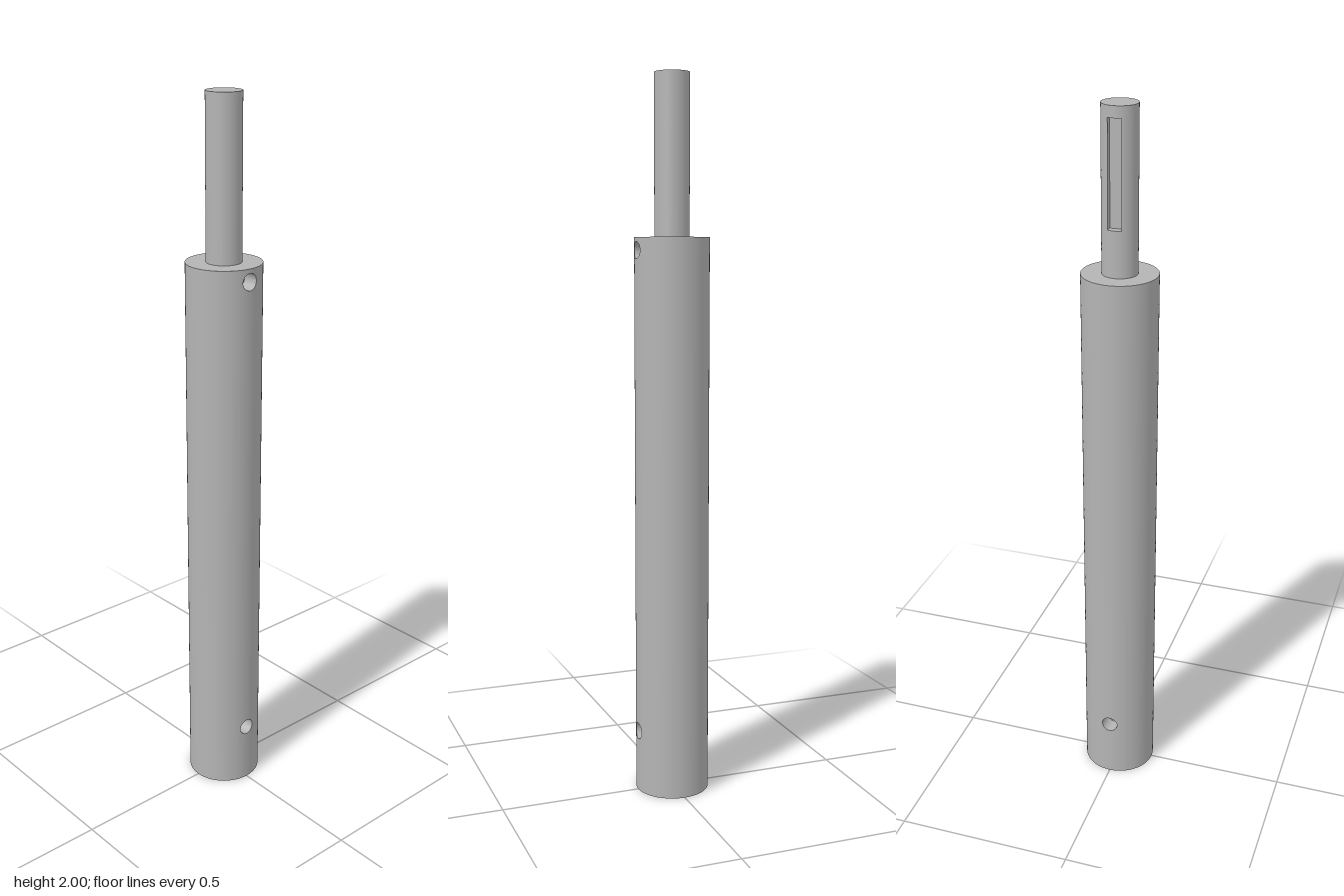
import * as THREE from 'three';

const steel = new THREE.MeshStandardMaterial({ color: 0xb4b4b4, side: THREE.DoubleSide });
steel.name = 'steel grey';

const BODY_R = 0.103, BODY_TOP = 1.565;
const BORE_R = 0.056, BORE_TOP = 0.36;
const SPINDLE_R = 0.048, TOP = 2;
const HOLE_R = 0.023, PATCH = 0.03;
const PIN_Y = 0.175, VENT_Y = 1.53;
const KEY_HALF = 0.018, KEY_LOW = 1.69, KEY_HIGH = 1.97, KEY_FLOOR = 0.027;

// Smooth sheet from a rule f(u, v) -> [x, y, z]
function sheet(f, nu, nv) {
  const pos = [], index = [];
  for (let j = 0; j <= nv; j++)
    for (let i = 0; i <= nu; i++) pos.push(...f(i / nu, j / nv));
  for (let j = 0; j < nv; j++)
    for (let i = 0; i < nu; i++) {
      const a = j * (nu + 1) + i, b = a + 1, c = a + nu + 1, d = c + 1;
      index.push(a, b, c, b, d, c);
    }
  const g = new THREE.BufferGeometry();
  g.setAttribute('position', new THREE.Float32BufferAttribute(pos, 3));
  g.setIndex(index);
  g.computeVertexNormals();
  return g;
}

const depthAt = (r, x) => Math.sqrt(r * r - x * x);

// Part of a cylinder wall; angle 0 faces the front
function arc(r, y0, y1, t0, t1) {
  const n = Math.max(12, Math.ceil((t1 - t0) * 16));
  return sheet((u, v) => {
    const t = t0 + (t1 - t0) * u;
    return [r * Math.sin(t), y0 + (y1 - y0) * v, r * Math.cos(t)];
  }, n, 1);
}

// Square patch of cylinder wall around a round cross hole
function holePatch(r, y, side) {
  return sheet((u, v) => {
    const t = u * Math.PI * 2, c = Math.cos(t), s = Math.sin(t);
    const k = PATCH / Math.max(Math.abs(c), Math.abs(s));
    const d = HOLE_R + (k - HOLE_R) * v;
    return [c * d, y + s * d, side * depthAt(r, c * d)];
  }, 48, 4);
}

// Wall of a cross hole, from the outer skin to the given inner depth
function holeWall(y, side, inner) {
  return sheet((u, v) => {
    const t = u * Math.PI * 2, x = HOLE_R * Math.cos(t);
    const z0 = depthAt(BODY_R, x), z1 = inner(x);
    return [x, y + HOLE_R * Math.sin(t), side * (z0 + (z1 - z0) * v)];
  }, 48, 1);
}

function flatRing(r0, r1, y) {
  const g = r0 > 0 ? new THREE.RingGeometry(r0, r1, 96) : new THREE.CircleGeometry(r1, 96);
  return g.rotateX(-Math.PI / 2).translate(0, y, 0);
}

export function createModel() {
  const model = new THREE.Group();
  model.name = 'shaft';
  const group = name => {
    const g = new THREE.Group();
    g.name = name;
    model.add(g);
    return (part, geometry) => {
      const m = new THREE.Mesh(geometry, steel);
      m.name = part;
      g.add(m);
    };
  };

  // Cylinder wall with holes at the given heights, front and back
  function drilledWall(add, name, r, y0, y1, frontHoles, backHoles) {
    const t = Math.asin(PATCH / r);
    add(name + 'LeftWall', arc(r, y0, y1, t, Math.PI - t));
    add(name + 'RightWall', arc(r, y0, y1, Math.PI + t, 2 * Math.PI - t));
    for (const [side, holes] of [[1, frontHoles], [-1, backHoles]]) {
      const mid = side > 0 ? 0 : Math.PI;
      let y = y0;
      for (const h of holes) {
        add(name + 'Band', arc(r, y, h - PATCH, mid - t, mid + t));
        add(name + 'HoleRim', holePatch(r, h, side));
        y = h + PATCH;
      }
      add(name + 'Band', arc(r, y, y1, mid - t, mid + t));
    }
  }

  // Main body and its end faces
  const body = group('body');
  drilledWall(body, 'body', BODY_R, 0, BODY_TOP, [PIN_Y, VENT_Y], [PIN_Y]);
  body('bodyShoulder', flatRing(SPINDLE_R, BODY_R, BODY_TOP));
  body('bodyBottom', flatRing(BORE_R, BODY_R, 0).rotateX(Math.PI));

  // Socket in the bottom end
  const bore = group('bore');
  drilledWall(bore, 'bore', BORE_R, 0, BORE_TOP, [PIN_Y], [PIN_Y]);
  bore('boreEnd', flatRing(0, BORE_R, 0).rotateX(Math.PI).translate(0, BORE_TOP, 0));

  // Through pin hole below, blind hole near the shoulder
  const holes = group('crossHoles');
  for (const side of [1, -1])
    holes('pinHole', holeWall(PIN_Y, side, x => depthAt(BORE_R, x)));
  holes('blindHole', holeWall(VENT_Y, 1, () => BORE_R));
  holes('blindHoleFloor', new THREE.CircleGeometry(HOLE_R, 48).translate(0, VENT_Y, BORE_R));

  // Spindle with a keyway cut into its back
  const spindle = group('spindle');
  const k = Math.asin(KEY_HALF / SPINDLE_R);
  spindle('spindleWall', arc(SPINDLE_R, BODY_TOP, TOP, k - Math.PI, Math.PI - k));
  for (const [a, b] of [[BODY_TOP, KEY_LOW], [KEY_HIGH, TOP]])
    spindle('spindleBackBand', arc(SPINDLE_R, a, b, Math.PI - k, Math.PI + k));
  spindle('spindleTop', flatRing(0, SPINDLE_R, TOP));

  const keyway = group('keyway');
  const keyHeight = KEY_HIGH - KEY_LOW;
  keyway('keywayFloor', new THREE.PlaneGeometry(KEY_HALF * 2, keyHeight)
    .rotateY(Math.PI).translate(0, KEY_LOW + keyHeight / 2, -KEY_FLOOR));
  const lip = depthAt(SPINDLE_R, KEY_HALF);
  for (const s of [1, -1])
    keyway('keywaySide', sheet((u, v) =>
      [s * KEY_HALF, KEY_LOW + keyHeight * v, -KEY_FLOOR - (lip - KEY_FLOOR) * u], 1, 1));
  for (const y of [KEY_LOW, KEY_HIGH])
    keyway('keywayEnd', sheet((u, v) => {
      const x = KEY_HALF * (2 * u - 1);
      return [x, y, -KEY_FLOOR - (depthAt(SPINDLE_R, x) - KEY_FLOOR) * v];
    }, 12, 1));

  return model;
}
